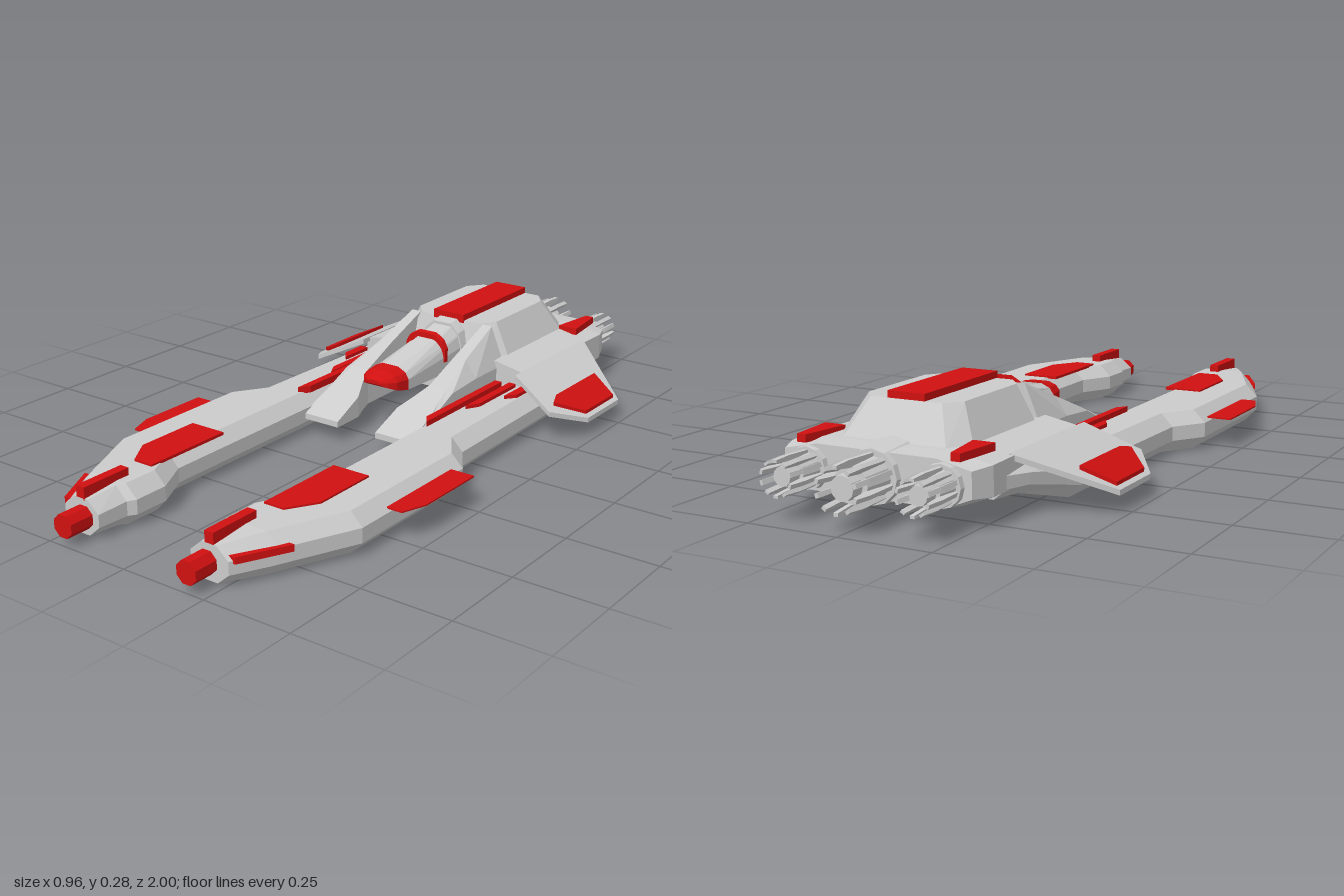
import * as THREE from 'three';

const grey = new THREE.MeshStandardMaterial({ color: 0xcccccc, flatShading: true });
const red = new THREE.MeshStandardMaterial({ color: 0xd01010, flatShading: true });

// Flat-shaded geometry from triangles, always wound outwards
function solid(tris) {
  let volume = 0;
  const [a, b, c] = [0, 1, 2].map(() => new THREE.Vector3());
  for (const t of tris) {
    a.fromArray(t[0]); b.fromArray(t[1]); c.fromArray(t[2]);
    volume += a.dot(b.cross(c));
  }
  const pos = tris.flatMap(t => (volume < 0 ? [t[0], t[2], t[1]] : t).flat());
  const g = new THREE.BufferGeometry();
  g.setAttribute('position', new THREE.Float32BufferAttribute(pos, 3));
  g.computeVertexNormals();
  return g;
}

// Skin a row of equal-length [x,y,z] rings and cap both ends
function loft(rings) {
  const n = rings[0].length, tris = [];
  for (let i = 0; i < rings.length - 1; i++)
    for (let j = 0; j < n; j++) {
      const k = (j + 1) % n, p = rings[i], q = rings[i + 1];
      tris.push([p[j], p[k], q[k]], [p[j], q[k], q[j]]);
    }
  const last = rings[rings.length - 1];
  for (let j = 1; j < n - 1; j++) {
    tris.push([rings[0][0], rings[0][j + 1], rings[0][j]]);
    tris.push([last[0], last[j], last[j + 1]]);
  }
  return solid(tris);
}

// Plate over an [x,z] outline whose top height is a number or a function of x and z
function plate(outline, top, thick) {
  const h = typeof top === 'function' ? top : () => top;
  return loft([0, thick].map(d => outline.map(([x, z]) => [x, h(x, z) - d, z])));
}
const rect = (x0, x1, z0, z1) => [[x0, z0], [x1, z0], [x1, z1], [x0, z1]];

// Chamfered box ring
function octagon([z, x0, x1, y0, y1], c = 0.035) {
  const d = Math.min(c, (y1 - y0) * 0.32);
  return [[x0 + c, y0], [x1 - c, y0], [x1, y0 + d], [x1, y1 - d],
    [x1 - c, y1], [x0 + c, y1], [x0, y1 - d], [x0, y0 + d]].map(([x, y]) => [x, y, z]);
}

// Arched ring for the canopy
function arch([z, w, y0, y1]) {
  const h = y1 - y0;
  return [[-w, y0], [-w, y0 + h * 0.5], [-w * 0.82, y0 + h * 0.8], [-w * 0.42, y1],
    [w * 0.42, y1], [w * 0.82, y0 + h * 0.8], [w, y0 + h * 0.5], [w, y0]].map(([x, y]) => [x, y, z]);
}

// Mirror across x, restoring the winding
function mirrored(geo) {
  const p = geo.getAttribute('position'), tris = [];
  const at = i => [-p.getX(i), p.getY(i), p.getZ(i)];
  for (let i = 0; i < p.count; i += 3) tris.push([at(i), at(i + 1), at(i + 2)]);
  return solid(tris);
}

export function createModel() {
  const model = new THREE.Group();
  model.name = 'spacecraft';
  const add = (name, geo, mat = grey, parent = model) => {
    const m = new THREE.Mesh(geo, mat);
    m.name = name;
    parent.add(m);
    return m;
  };
  const pair = (name, geo, mat) => {
    add(name + 'Left', geo, mat);
    add(name + 'Right', mirrored(geo), mat);
  };

  // Long forward prongs
  pair('prong', loft([
    [-0.72, 0.18, 0.28, 0.05, 0.14], [-0.64, 0.18, 0.30, 0.05, 0.13],
    [-0.45, 0.18, 0.34, 0, 0.11], [0.1, 0.18, 0.35, 0, 0.11],
    [0.19, 0.18, 0.41, 0, 0.11], [0.62, 0.18, 0.41, 0, 0.11],
    [0.72, 0.13, 0.365, 0, 0.11], [0.82, 0.13, 0.32, 0, 0.11],
    [0.84, 0.145, 0.31, 0, 0.108], [0.93, 0.15, 0.265, 0.005, 0.1],
  ].map(r => octagon(r))));
  const muzzle = new THREE.CylinderGeometry(0.032, 0.032, 0.08, 8)
    .rotateY(Math.PI / 8).rotateX(Math.PI / 2).translate(0.2, 0.052, 0.96).toNonIndexed();
  pair('muzzle', muzzle, red);

  // Coloured strips and panels on the prongs
  pair('prongPanel', plate([[0.185, 0.44], [0.295, 0.44], [0.295, 0.63], [0.245, 0.71], [0.185, 0.71]], 0.115, 0.008), red);
  pair('tipStrip', plate(rect(0.195, 0.222, 0.78, 0.93), 0.13, 0.035), red);
  pair('tipSideStrip', plate([[0.31, 0.79], [0.343, 0.79], [0.277, 0.92], [0.25, 0.92]], 0.081, 0.018), red);
  pair('sideFin', plate([[0.4, 0.23], [0.47, 0.23], [0.47, 0.44], [0.445, 0.51], [0.4, 0.51]], 0.085, 0.004), red);
  pair('longRail', plate([[0.2, -0.3], [0.222, -0.3], [0.222, 0.08], [0.2, 0.05]], 0.125, 0.02), red);
  pair('midRail', plate([[0.235, -0.32], [0.257, -0.32], [0.257, -0.13], [0.235, -0.09]], 0.12, 0.015), red);
  pair('shortRail', plate([[0.28, -0.33], [0.305, -0.33], [0.305, -0.25], [0.28, -0.22]], 0.12, 0.015), red);

  // Rear hull
  const hullRing = (z, k, y0, y1) => [[0.2, y0], [0.28, y0 + 0.03], [0.28, y1 - 0.02], [0.18, y1],
    [-0.18, y1], [-0.28, y1 - 0.02], [-0.28, y0 + 0.03], [-0.2, y0]].map(([x, y]) => [x * k, y, z]);
  add('hull', loft([hullRing(-0.33, 1, 0.045, 0.172), hullRing(-0.68, 1, 0.045, 0.172),
    hullRing(-0.78, 1, 0.045, 0.17), hullRing(-0.84, 0.92, 0.05, 0.165)]));
  pair('deckPlate', plate([[0.2, -0.835], [0.225, -0.835], [0.24, -0.7], [0.18, -0.7]].map(([x, z]) => [x, z]), 0.182, 0.02), red);

  // Raised roof with cut corners
  const roofRing = (y, w, z0, z1, cx, cz) => [[w - cx, z0], [w, z0 - cz], [w, z1 + cz], [w - cx, z1],
    [cx - w, z1], [-w, z1 + cz], [-w, z0 - cz], [cx - w, z0]].map(([x, z]) => [x, y, z]);
  add('roof', loft([roofRing(0.165, 0.185, -0.335, -0.765, 0.04, 0.06),
    roofRing(0.262, 0.135, -0.36, -0.705, 0.035, 0.045)]));
  add('roofStripe', plate(rect(-0.052, 0.052, -0.705, -0.355), 0.28, 0.025), red);

  // Drooping wings with coloured tips
  const slope = x => 0.152 - (x - 0.28) * 0.47;
  pair('wing', plate([[0.27, -0.295], [0.41, -0.25], [0.48, -0.35], [0.48, -0.53], [0.27, -0.69]], slope, 0.014));
  pair('wingPanel', plate([[0.385, -0.33], [0.43, -0.28], [0.467, -0.36], [0.467, -0.52], [0.385, -0.555]].map(
    ([x, z], i) => i === 1 ? [0.4, -0.29] : [x, z]), x => slope(x) + 0.01, 0.015), red);

  // Sloping arms either side of the cockpit: z, inner x, outer x, top outer x, top
  pair('cockpitArm', loft([
    [0.1, 0.065, 0.185, 0.185, 0.062], [0, 0.068, 0.185, 0.18, 0.105],
    [-0.05, 0.09, 0.185, 0.172, 0.128], [-0.1, 0.108, 0.185, 0.165, 0.15],
    [-0.22, 0.11, 0.185, 0.15, 0.2], [-0.37, 0.11, 0.185, 0.14, 0.258],
  ].map(([z, a, b, t, y]) => [[a, 0.045, z], [b, 0.045, z], [b, Math.min(y - 0.008, 0.15), z], [t, y, z], [a, y, z]])));

  // Cockpit
  add('canopy', loft([[-0.38, 0.066, 0.13, 0.262], [-0.06, 0.062, 0.138, 0.196]].map(arch)));
  add('canopyRear', loft([[-0.38, 0.07, 0.13, 0.268], [-0.32, 0.07, 0.13, 0.258]].map(arch)));
  add('canopyHoop', loft([[-0.25, 0.068, 0.17, 0.25], [-0.235, 0.068, 0.17, 0.247]].map(arch)), red);
  add('nose', loft([[-0.06, 0.064, 0.138, 0.2], [-0.015, 0.058, 0.148, 0.195],
    [0.008, 0.042, 0.158, 0.186], [0.02, 0.02, 0.166, 0.178]].map(arch)), red);

  // Engines: collar, core and a ring of vanes
  function engine(name, x, r, end) {
    const g = new THREE.Group();
    g.name = name;
    g.position.set(x, 0.106, 0);
    model.add(g);
    const tube = (part, r0, r1, z0, z1) => add(part, new THREE.CylinderGeometry(r0, r1, z0 - z1, 12)
      .rotateX(Math.PI / 2).translate(0, 0, (z0 + z1) / 2), grey, g);
    tube('collar', r * 1.3, r * 1.1, -0.76, -0.855);
    tube('core', r * 0.85, r * 0.75, -0.85, end + 0.06);
    tube('nozzle', r * 0.6, r * 0.5, -0.85, end + 0.025);
    for (let i = 0; i < 10; i++) {
      const vane = add('vane', loft([[-0.85, 0.7, 0.95], [end + 0.05, 0.7, 1], [end, 0.8, 0.95]].map(
        ([z, a, b]) => [[-0.006, a * r, z], [0.006, a * r, z], [0.006, b * r, z], [-0.006, b * r, z]])), grey, g);
      vane.rotation.z = i * Math.PI / 5;
    }
  }
  engine('centreEngine', 0, 0.062, -1);
  engine('leftEngine', 0.185, 0.048, -0.975);
  engine('rightEngine', -0.185, 0.048, -0.975);

  return model;
}
